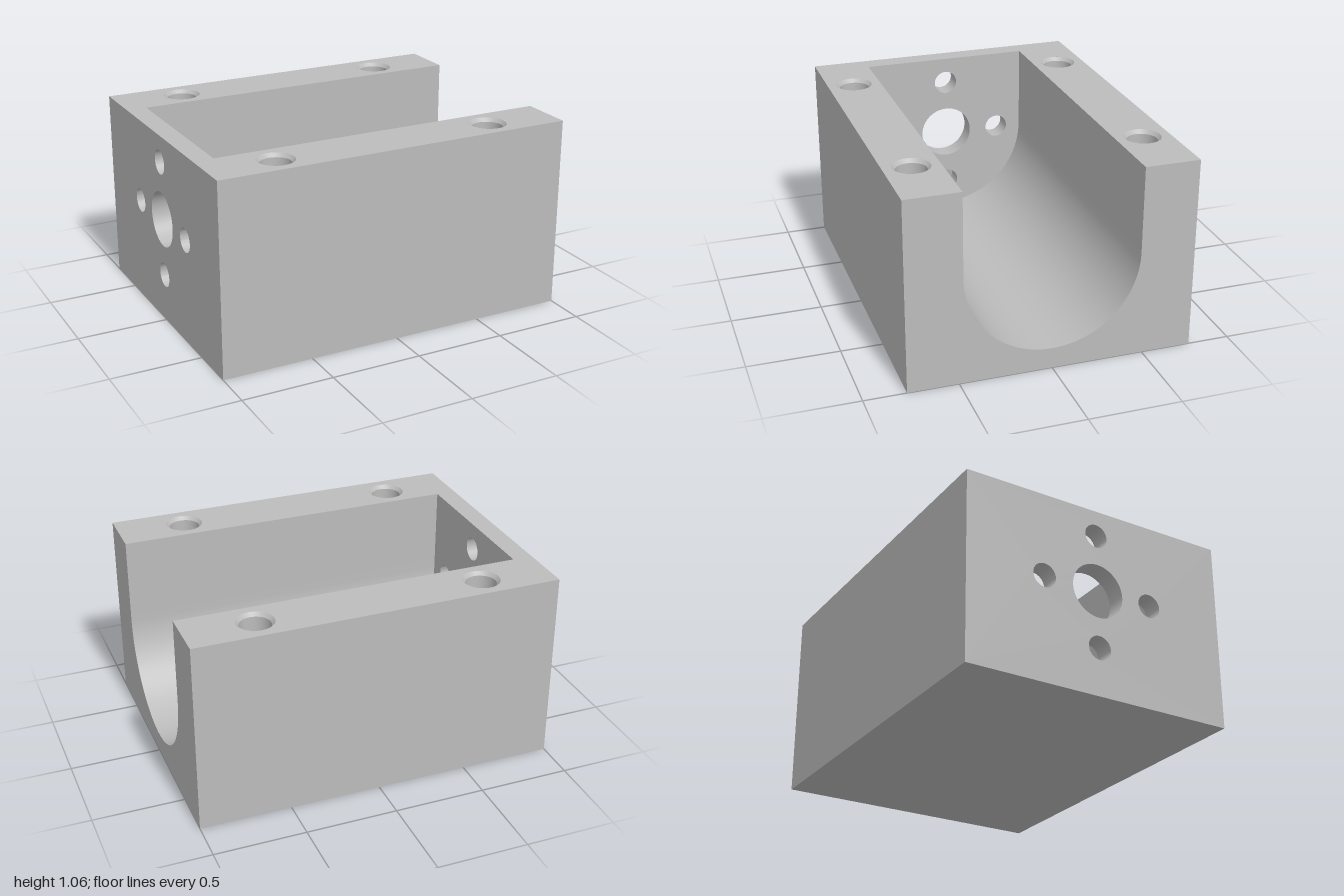
import * as THREE from 'three';
import { toCreasedNormals } from 'three/addons/utils/BufferGeometryUtils.js';

const H = 1.06, HALF_Z = 0.773;           // block height and half width
const R = 0.473, AXIS_Y = 0.588;          // trough radius and axis height
const WALL_X = -0.89;                     // inner face of the end wall
const SPLIT_Y = 0.66;                     // floor level of the blind screw holes

const circle = (x, y, r) => new THREE.Path().absarc(x, y, r, 0, Math.PI * 2, true);

function extrude(shape, depth) {
  return new THREE.ExtrudeGeometry(shape, { depth, bevelEnabled: false, curveSegments: 48 });
}

// Extrude a (z, y) section along x
function alongX(shape, x0, x1) {
  const g = extrude(shape, x1 - x0).rotateY(Math.PI / 2).translate(x0, 0, 0);
  return toCreasedNormals(g, 0.5);
}

function rectangle(x0, y0, x1, y1) {
  return new THREE.Shape().moveTo(x0, y0).lineTo(x1, y0).lineTo(x1, y1).lineTo(x0, y1).closePath();
}

export function createModel() {
  const model = new THREE.Group();
  model.name = 'motorMountBlock';
  const grey = new THREE.MeshStandardMaterial({ color: 0xbcbcbc });
  grey.name = 'machined grey';

  const add = (geometry, name) => {
    const mesh = new THREE.Mesh(geometry, grey);
    mesh.name = name;
    model.add(mesh);
    return mesh;
  };

  // End wall with a centre bore and four bolt holes around it
  const wall = rectangle(-HALF_Z, 0, HALF_Z, H);
  wall.holes.push(circle(0, AXIS_Y, 0.152));
  for (let i = 0; i < 4; i++) {
    const a = i * Math.PI / 2;
    wall.holes.push(circle(0.322 * Math.cos(a), AXIS_Y + 0.322 * Math.sin(a), 0.067));
  }
  add(alongX(wall, -1, WALL_X), 'endWall');

  // Lower body with the round-bottomed trough
  const cradle = new THREE.Shape()
    .moveTo(-HALF_Z, 0).lineTo(HALF_Z, 0).lineTo(HALF_Z, SPLIT_Y)
    .lineTo(R, SPLIT_Y).lineTo(R, AXIS_Y)
    .absarc(0, AXIS_Y, R, 0, -Math.PI, true)
    .lineTo(-R, SPLIT_Y).lineTo(-HALF_Z, SPLIT_Y).closePath();
  add(alongX(cradle, WALL_X, 1), 'cradle');

  // Side rails, each with two chamfered blind screw holes
  const bore = new THREE.LatheGeometry([
    new THREE.Vector2(0.1, H), new THREE.Vector2(0.083, H - 0.02), new THREE.Vector2(0.083, SPLIT_Y),
  ], 48);
  const boreGeometry = toCreasedNormals(bore, 0.5);
  for (const side of [1, -1]) {
    const sideName = side > 0 ? 'front' : 'back';
    const rail = rectangle(WALL_X, -side * R, 1, -side * HALF_Z);
    for (const x of [-0.622, 0.622]) {
      rail.holes.push(circle(x, -side * 0.622, 0.1));
      add(boreGeometry, sideName + 'ScrewHole').position.set(x, 0, side * 0.622);
    }
    const g = extrude(rail, H - SPLIT_Y).rotateX(-Math.PI / 2).translate(0, SPLIT_Y, 0);
    add(toCreasedNormals(g, 0.5), sideName + 'Rail');
  }
  return model;
}
